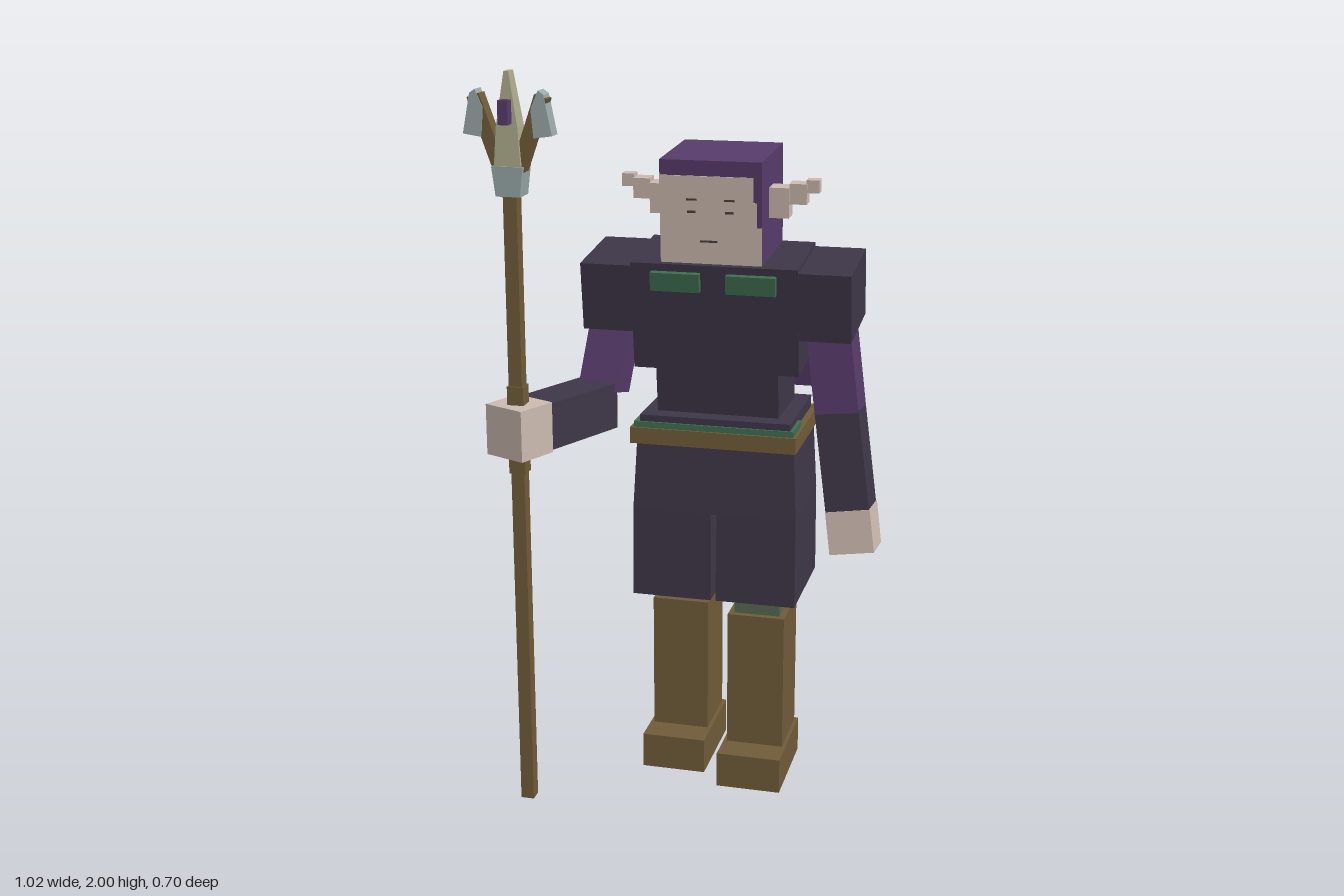
import * as THREE from 'three';

const mat = (name, color) => Object.assign(new THREE.MeshStandardMaterial({ color }), { name });
const M = {
  cloth: mat('darkCloth', 0x3d3647),
  purple: mat('purpleCloth', 0x573b6a),
  leather: mat('brownLeather', 0x705b39),
  skin: mat('paleSkin', 0xccbab0),
  green: mat('greenTrim', 0x3f6e4e),
  sage: mat('sageStocking', 0x586a52),
  steel: mat('paleSteel', 0x9aa9a9),
  bone: mat('boneSpike', 0xacaa8b),
  line: mat('faceLine', 0x4a3f3c),
};

function add(parent, name, geometry, material, x = 0, y = 0, z = 0) {
  const mesh = new THREE.Mesh(geometry, material);
  mesh.name = name;
  mesh.position.set(x, y, z);
  parent.add(mesh);
  return mesh;
}

// Box given by its extents on each axis
function block(parent, name, m, [x0, x1], [y0, y1], [z0, z1]) {
  return add(parent, name, new THREE.BoxGeometry(x1 - x0, y1 - y0, z1 - z0), m,
    (x0 + x1) / 2, (y0 + y1) / 2, (z0 + z1) / 2);
}

// Box whose top face is scaled against its bottom face
function tapered(w, h, d, sx, sz) {
  const g = new THREE.BoxGeometry(w, h, d);
  const p = g.attributes.position;
  for (let i = 0; i < p.count; i++) {
    if (p.getY(i) > 0) p.setXYZ(i, p.getX(i) * sx, p.getY(i), p.getZ(i) * sz);
  }
  g.computeVertexNormals();
  return g;
}

// Box stretched from point a to point b; w is its x size, d its depth
function limb(parent, name, m, a, b, w, d) {
  const A = new THREE.Vector3(...a), B = new THREE.Vector3(...b);
  const dir = A.clone().sub(B);
  const mid = A.clone().add(B).multiplyScalar(0.5);
  const mesh = add(parent, name, new THREE.BoxGeometry(w, dir.length(), d), m, mid.x, mid.y, mid.z);
  mesh.quaternion.setFromUnitVectors(new THREE.Vector3(0, 1, 0), dir.normalize());
  return mesh;
}

function group(parent, name, x = 0, y = 0, z = 0) {
  const g = new THREE.Group();
  g.name = name;
  g.position.set(x, y, z);
  parent.add(g);
  return g;
}

// Flat outline extruded and centred in z
function plate(points, depth) {
  const shape = new THREE.Shape(points.map(([x, y]) => new THREE.Vector2(x, y)));
  return new THREE.ExtrudeGeometry(shape, { depth, bevelEnabled: false }).translate(0, 0, -depth / 2);
}

const CX = 0.06; // body centre line

function buildLegs(root) {
  // Left leg stands a little in front of the right one
  for (const [side, x, z] of [['left', 0.175, 0], ['right', -0.058, -0.068]]) {
    const leg = group(root, side + 'Leg', x, 0, z);
    block(leg, 'bootFoot', M.leather, [-0.09, 0.09], [0, 0.1], [-0.22, 0.06]);
    block(leg, 'bootShaft', M.leather, [-0.08, 0.08], [0.1, 0.49], [-0.21, -0.025]);
    block(leg, 'stocking', M.sage, [-0.064, 0.064], [0.49, 0.56], [-0.193, -0.042]);
  }
  // Split lower skirt and the joined upper skirt
  for (const s of [-1, 1]) {
    add(root, 'skirtPanel', tapered(0.222, 0.25, 0.322, 0.99, 0.975), M.cloth, CX + s * 0.118, 0.665, -0.154);
  }
  add(root, 'skirt', tapered(0.456, 0.2, 0.314, 0.955, 0.94), M.cloth, CX, 0.89, -0.154);
  block(root, 'belt', M.leather, [-0.17, 0.288], [0.985, 1.03], [-0.327, 0.022]);
  block(root, 'sash', M.green, [-0.16, 0.28], [1.03, 1.046], [-0.1, 0.016]);
  block(root, 'tunicHem', M.cloth, [-0.145, 0.27], [1.03, 1.064], [-0.3, 0.01]);
}

function buildTorso(root) {
  // Upper body leans forward
  const torso = group(root, 'torso', CX, 1.352, -0.12);
  torso.rotation.x = 0.122;
  block(torso, 'chest', M.cloth, [-0.226, 0.226], [-0.148, 0.148], [-0.123, 0.123]);
  block(torso, 'waist', M.cloth, [-0.168, 0.168], [-0.31, -0.148], [-0.113, 0.113]);
  for (const s of [-1, 1]) {
    add(torso, 'shoulderPad', new THREE.BoxGeometry(0.14, 0.185, 0.24), M.cloth, s * 0.295, 0.045, 0);
    add(torso, 'collarPatch', new THREE.BoxGeometry(0.133, 0.05, 0.022), M.green, s * 0.102, 0.103, 0.13);
  }
  // Cape hangs off the back, narrower at the hem
  const cape = add(root, 'cape', tapered(0.42, 0.375, 0.042, 1.095, 1), M.purple, CX, 1.277, -0.296);
  cape.rotation.x = 0.157;
}

function buildHead(root) {
  const head = group(root, 'head', CX, 1.637, -0.087);
  head.rotation.x = 0.06;
  add(head, 'hair', new THREE.BoxGeometry(0.27, 0.27, 0.27), M.purple);
  add(head, 'face', plate([
    [-0.135, -0.135], [0.135, -0.135], [0.135, -0.035], [0.122, -0.035],
    [0.122, 0.03], [0.113, 0.03], [0.113, 0.095], [-0.135, 0.095],
  ], 0.006), M.skin, 0, 0, 0.135);
  for (const s of [-1, 1]) {
    add(head, 'brow', new THREE.BoxGeometry(0.028, 0.005, 0.003), M.line, s * 0.05, 0.034, 0.139);
    add(head, 'eye', new THREE.BoxGeometry(0.022, 0.006, 0.003), M.line, s * 0.05, 0.002, 0.139);
    // Stepped pointed ears
    [[0.16, 0.012, 0.054, 0.08, 0.052], [0.21, 0.036, 0.046, 0.054, 0.042], [0.248, 0.056, 0.034, 0.034, 0.03]]
      .forEach(([x, y, w, h, d]) => add(head, 'ear', new THREE.BoxGeometry(w, h, d), M.skin, s * x, y, 0.02));
  }
  add(head, 'mouth', new THREE.BoxGeometry(0.045, 0.005, 0.003), M.line, -0.005, -0.075, 0.139);
}

function buildArms(root) {
  const left = group(root, 'leftArm');
  limb(left, 'sleeve', M.purple, [0.352, 1.36, -0.1], [0.39, 1.09, -0.078], 0.118, 0.125);
  limb(left, 'forearm', M.cloth, [0.39, 1.09, -0.078], [0.431, 0.825, -0.045], 0.118, 0.125);
  limb(left, 'hand', M.skin, [0.431, 0.83, -0.046], [0.448, 0.715, -0.032], 0.121, 0.13);

  // Right arm bends forward to hold the staff
  const right = group(root, 'rightArm');
  limb(right, 'sleeve', M.purple, [-0.228, 1.37, -0.11], [-0.262, 1.115, -0.045], 0.112, 0.12);
  const reach = group(right, 'reach', -0.395, 1.083, 0.27);
  reach.rotation.y = -0.42;
  block(reach, 'forearm', M.cloth, [-0.059, 0.059], [-0.063, 0.063], [-0.32, -0.056]);
  block(reach, 'hand', M.skin, [-0.062, 0.062], [-0.068, 0.068], [-0.056, 0.062]);
}

function buildStaff(root) {
  const staff = group(root, 'staff', -0.397, 0, 0.276);
  block(staff, 'shaft', M.leather, [-0.018, 0.018], [0.02, 1.7], [-0.018, 0.018]);
  for (const y of [0.99, 1.175]) {
    add(staff, 'grip', new THREE.BoxGeometry(0.044, 0.05, 0.044), M.leather, 0, y, 0);
  }
  add(staff, 'socket', tapered(0.064, 0.075, 0.062, 1.28, 1.05), M.steel, 0, 1.73, 0);
  // Central spike in two tapering stages
  add(staff, 'spikeBase', tapered(0.07, 0.1, 0.058, 0.8, 0.86), M.bone, 0, 1.815, 0);
  add(staff, 'spikeTip', tapered(0.056, 0.135, 0.05, 0.22, 0.72), M.bone, 0, 1.9325, 0);
  add(staff, 'gem', new THREE.BoxGeometry(0.026, 0.06, 0.03), M.purple, 0, 1.902, 0.037);
  // Side prongs with steel tips
  for (const s of [-1, 1]) {
    limb(staff, 'prong', M.leather, [s * 0.088, 1.94, 0], [s * 0.022, 1.755, 0], 0.034, 0.04);
    const pts = [[0.082, 1.955], [0.096, 1.945], [0.116, 1.845], [0.068, 1.838], [0.062, 1.91]];
    add(staff, 'prongTip', plate(pts.map(([x, y]) => [s * x, y]), 0.044), M.steel);
  }
}

export function createModel() {
  const root = new THREE.Group();
  root.name = 'staffBearer';
  buildLegs(root);
  buildTorso(root);
  buildHead(root);
  buildArms(root);
  buildStaff(root);
  return root;
}
